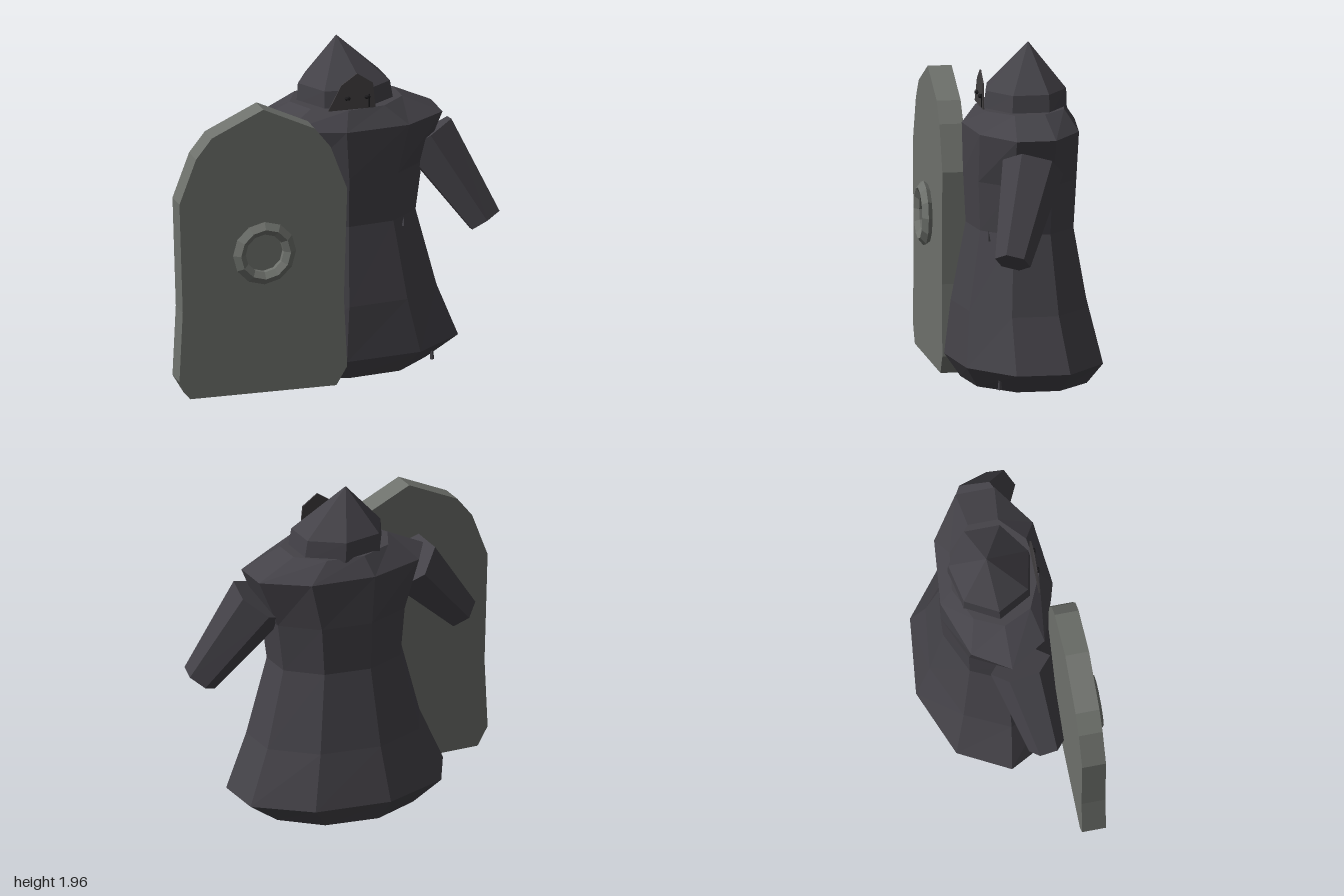
import * as THREE from 'three';

const mat = (name, color, extra = {}) => {
  const m = new THREE.MeshStandardMaterial({ color, flatShading: true, ...extra });
  m.name = name;
  return m;
};

// Skin a list of rings (bottom to top), closing both ends with fans.
function loft(rings) {
  const n = rings[0].length, pos = [];
  const tri = (...pts) => pts.forEach((p) => pos.push(p.x, p.y, p.z));
  const middle = (r) => r.reduce((s, p) => s.add(p), new THREE.Vector3()).divideScalar(n);
  const first = rings[0], last = rings[rings.length - 1];
  const c0 = middle(first), c1 = middle(last);
  for (let i = 0; i < n; i++) {
    const j = (i + 1) % n;
    for (let k = 0; k < rings.length - 1; k++) {
      const a = rings[k], b = rings[k + 1];
      tri(a[i], a[j], b[j]);
      tri(a[i], b[j], b[i]);
    }
    tri(c0, first[j], first[i]);
    tri(c1, last[i], last[j]);
  }
  const g = new THREE.BufferGeometry();
  g.setAttribute('position', new THREE.Float32BufferAttribute(pos, 3));
  g.computeVertexNormals();
  return g;
}

// Polygon ring around a centre, spanned by u (sideways) and v (forwards).
function ring(sides, centre, u, v, ru, rv, phase = 0) {
  return Array.from({ length: sides }, (_, i) => {
    const t = phase + (i / sides) * Math.PI * 2;
    return centre.clone().addScaledVector(u, -Math.cos(t) * ru).addScaledVector(v, Math.sin(t) * rv);
  });
}

const X = new THREE.Vector3(1, 0, 0), Z = new THREE.Vector3(0, 0, 1);
const V = (x, y, z) => new THREE.Vector3(x, y, z);

// Six-sided sleeve from shoulder to cuff.
function sleeve(shoulder, cuff) {
  const w = shoulder.clone().sub(cuff).normalize();
  const v = Z.clone().addScaledVector(w, -w.z).normalize();
  const u = w.clone().cross(v);
  return loft([
    ring(6, cuff, u, v, 0.11, 0.105, Math.PI / 6),
    ring(6, shoulder, u, v, 0.185, 0.18, Math.PI / 6),
  ]);
}

export function createModel() {
  const model = new THREE.Group();
  const cloth = mat('dark cloth', 0x444248);
  const steel = mat('grey shield', 0x6e716c);
  const skin = mat('shadowed face', 0x413e40, { side: THREE.DoubleSide });
  const black = mat('black eyes', 0x1c1b1d);
  const add = (name, geometry, material, x = 0, y = 0, z = 0) => {
    const m = new THREE.Mesh(geometry, material);
    m.name = name;
    m.position.set(x, y, z);
    model.add(m);
    return m;
  };

  // Robe: nine-sided rings of [y, centre x, half width, centre z, half depth]
  add('robe', loft([
    [0, 0.13, 0.48, -0.035, 0.37],
    [0.13, 0.13, 0.68, -0.035, 0.46],
    [0.45, 0.13, 0.54, -0.01, 0.4],
    [0.91, 0.13, 0.415, -0.01, 0.315],
    [1.2, 0.135, 0.45, -0.01, 0.33],
    [1.49, 0.14, 0.575, -0.01, 0.335],
    [1.6, 0.13, 0.335, -0.01, 0.26],
  ].map(([y, cx, a, cz, b]) => ring(9, V(cx, y, cz), X, Z, a, b))), cloth);

  // Hood: seven-sided band with a pointed top
  add('hood', loft([
    ring(7, V(0.13, 1.58, -0.025), X, Z, 0.29, 0.25),
    ring(7, V(0.125, 1.7, -0.03), X, Z, 0.275, 0.242),
    ring(7, V(0.09, 1.96, -0.06), X, Z, 0.002, 0.002),
  ]), cloth);

  // Arms
  add('leftArm', sleeve(V(0.615, 1.33, 0), V(0.915, 0.83, 0.17)), cloth);
  add('rightArm', sleeve(V(-0.37, 1.36, 0.05), V(-0.74, 0.95, 0.13)), cloth);

  // Face plate with eyes
  const face = new THREE.Shape([
    [-0.045, 1.6], [0.24, 1.6], [0.225, 1.75], [0.13, 1.815], [0.035, 1.75],
  ].map(([x, y]) => new THREE.Vector2(x, y)));
  add('face', new THREE.ExtrudeGeometry(face, { depth: 0.008, bevelEnabled: false }), skin, 0, 0, 0.222)
    .geometry.rotateX(0);
  for (const x of [0.07, 0.19]) {
    const eye = add('eye', new THREE.IcosahedronGeometry(0.014, 0), black, x, 1.67, 0.238);
    eye.scale.x = 1.5;
  }
  add('cheekMark', new THREE.BoxGeometry(0.008, 0.08, 0.006), black, 0.2, 1.645, 0.231);

  // Shield: half outline mirrored about its centre line
  const half = [[0.44, 0], [0.505, 0.11], [0.485, 0.53], [0.505, 1.19], [0.405, 1.455], [0.31, 1.575]];
  const outline = [
    ...half, [0, 1.72],
    ...half.slice().reverse().map(([x, y]) => [-x, y]),
  ].map(([x, y]) => new THREE.Vector2(x, y));
  add('shield', new THREE.ExtrudeGeometry(new THREE.Shape(outline), { depth: 0.14, bevelEnabled: false }),
    steel, -0.495, 0, 0.288);

  // Raised ring on the shield
  const rim = [[0.115, -0.01], [0.165, -0.01], [0.19, 0.025], [0.15, 0.057], [0.115, 0.03], [0.115, -0.01]]
    .map(([r, y]) => new THREE.Vector2(r, y));
  const ringMesh = add('shieldRing', new THREE.LatheGeometry(rim, 12), steel, -0.495, 0.855, 0.428);
  ringMesh.rotation.x = Math.PI / 2;
  ringMesh.material = mat('grey shield ring', 0x6e716c, { side: THREE.DoubleSide });

  // Small pegs at the waist and hem
  add('waistPeg', new THREE.ConeGeometry(0.012, 0.06, 5), cloth, 0.41, 0.89, 0.225);
  add('hemPeg', new THREE.CylinderGeometry(0.008, 0.014, 0.06, 5), cloth, 0.59, 0.05, 0.19);

  return model;
}
